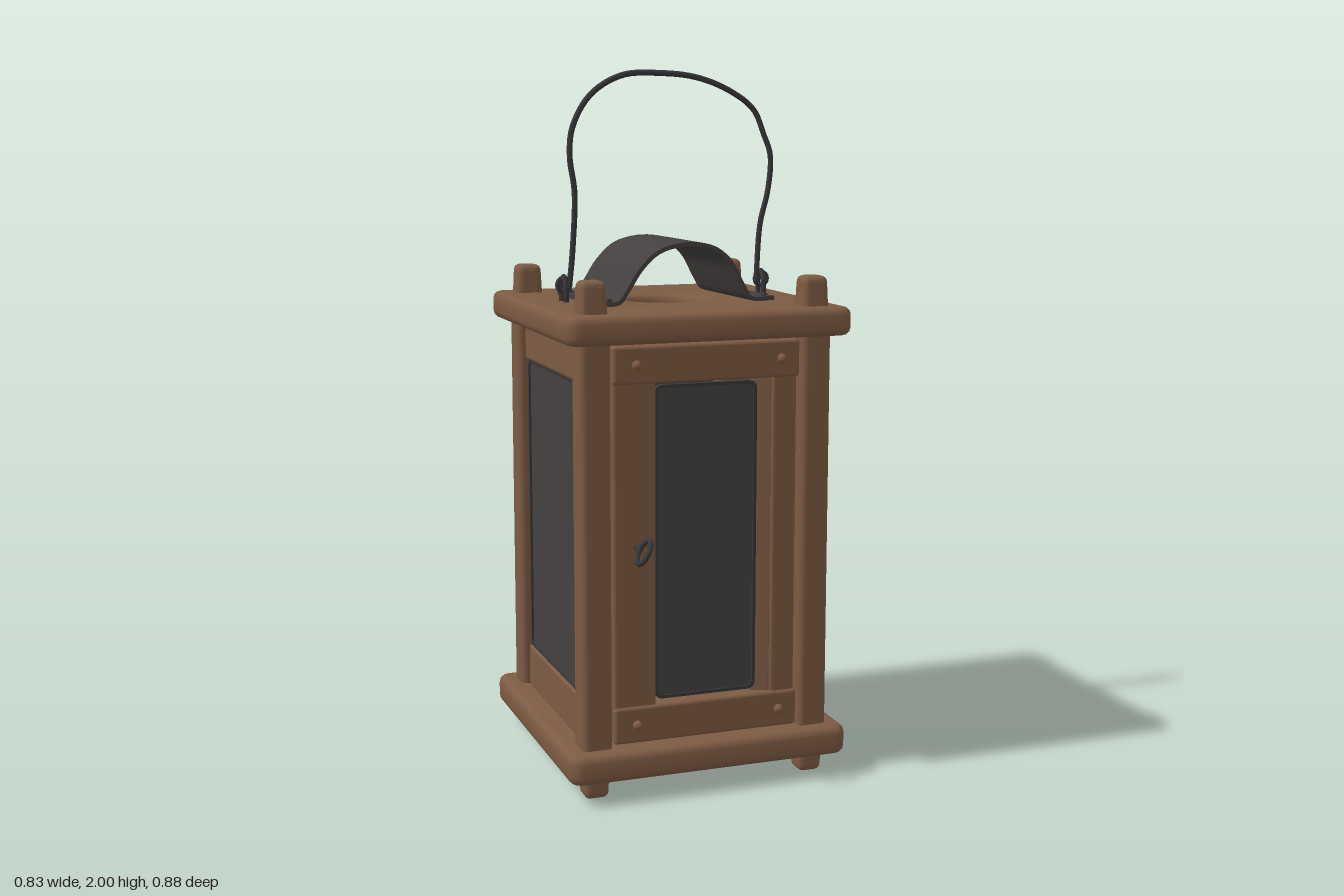
import * as THREE from 'three';
import { toCreasedNormals } from 'three/addons/utils/BufferGeometryUtils.js';
import { RoundedBoxGeometry } from 'three/addons/geometries/RoundedBoxGeometry.js';

const material = (name, color) => new THREE.MeshStandardMaterial({ name, color });

export function createModel() {
  const wood = material('wood', 0x7d5b43);
  const pane = material('darkPane', 0x454040);
  const iron = material('iron', 0x37363a);
  const model = new THREE.Group();
  model.name = 'lantern';
  const CZ = -0.027; // the body sits a little behind the door ring

  const add = (name, geometry, mat, x = 0, y = 0, z = 0, parent = model) => {
    const mesh = new THREE.Mesh(geometry, mat);
    mesh.name = name;
    mesh.position.set(x, y, z);
    parent.add(mesh);
    return mesh;
  };
  const block = (w, h, d, r = 0.01) => new RoundedBoxGeometry(w, h, d, 2, r);
  const v = (x, y, z) => new THREE.Vector3(x, y, z);
  const tube = (points, radius, segments = 24, closed = false) =>
    new THREE.TubeGeometry(new THREE.CatmullRomCurve3(points, closed), segments, radius, 8, closed);

  const roundedRect = (w, h, r) => {
    const s = new THREE.Shape();
    const x = w / 2, y = h / 2;
    s.moveTo(-x + r, -y);
    s.lineTo(x - r, -y).quadraticCurveTo(x, -y, x, -y + r);
    s.lineTo(x, y - r).quadraticCurveTo(x, y, x - r, y);
    s.lineTo(-x + r, y).quadraticCurveTo(-x, y, -x, y - r);
    s.lineTo(-x, -y + r).quadraticCurveTo(-x, -y, -x + r, -y);
    return s;
  };

  // Base and roof boards; the roof has a smoke hole
  const board = (thickness, hole) => {
    const bevel = 0.022;
    const s = roundedRect(0.826 - 2 * bevel, 0.826 - 2 * bevel, 0.02);
    if (hole) s.holes.push(new THREE.Path().absarc(0, 0, hole + bevel, 0, Math.PI * 2, true));
    const g = new THREE.ExtrudeGeometry(s, {
      depth: thickness - 2 * bevel, bevelEnabled: true, bevelSize: bevel,
      bevelThickness: bevel, bevelSegments: 3, curveSegments: 20,
    });
    g.translate(0, 0, bevel).rotateX(-Math.PI / 2);
    return toCreasedNormals(g, 0.6);
  };
  add('baseBoard', board(0.083), wood, 0, 0.062, CZ);
  add('roofBoard', board(0.08, 0.11), wood, 0, 1.272, CZ);

  // Tapered peg ends
  const peg = (w, h, taper) => {
    const g = block(w, h, w, 0.018);
    const p = g.attributes.position;
    for (let i = 0; i < p.count; i++) {
      const k = 1 - taper * (p.getY(i) / h + 0.5);
      p.setXYZ(i, p.getX(i) * k, p.getY(i), p.getZ(i) * k);
    }
    g.computeVertexNormals();
    return g;
  };

  // Corner posts with pegs through both boards
  for (const sx of [-1, 1]) for (const sz of [-1, 1]) {
    const x = sx * 0.322, z = CZ + sz * 0.32;
    add('cornerPost', block(0.088, 1.17, 0.088, 0.018), wood, x, 0.71, z);
    add('topPeg', peg(0.082, 0.13, 0.15), wood, x, sx < 0 && sz > 0 ? 1.375 : 1.37, z);
    const foot = add('footPeg', peg(0.078, 0.1, 0.12), wood, x, 0.05, z);
    foot.rotation.x = Math.PI;
  }

  // Dark pane with a thin raised rim, facing +z
  const makePane = (w, h, parent, z) => {
    const sheet = new THREE.ExtrudeGeometry(roundedRect(w, h, 0.025), { depth: 0.012, bevelEnabled: false });
    add('pane', sheet, pane, 0, 0.71, z - 0.012, parent);
    const rim = roundedRect(w, h, 0.025);
    rim.holes.push(roundedRect(w - 0.018, h - 0.018, 0.02));
    add('paneRim', new THREE.ExtrudeGeometry(rim, { depth: 0.014, bevelEnabled: false }),
      iron, 0, 0.71, z - 0.008, parent);
  };

  // Right, back and left walls: two rails and a large pane
  for (const turn of [1, 2, 3]) {
    const wall = new THREE.Group();
    wall.name = 'wall';
    wall.position.z = CZ;
    wall.rotation.y = turn * Math.PI / 2;
    model.add(wall);
    add('topRail', block(0.56, 0.12, 0.05), wood, 0, 1.215, 0.318, wall);
    add('bottomRail', block(0.56, 0.13, 0.05), wood, 0, 0.205, 0.318, wall);
    makePane(0.55, 0.89, wall, 0.33);
  }

  // Front door: rails over stiles, pegged at the corners
  const door = new THREE.Group();
  door.name = 'door';
  model.add(door);
  for (const y of [1.212, 0.205]) {
    add('doorRail', block(0.545, 0.105, 0.05), wood, -0.002, y, 0.312, door);
    for (const x of [-0.208, 0.215]) {
      const pin = add('doorPin', new THREE.SphereGeometry(0.014, 12, 8), wood, x, y, 0.338, door);
      pin.scale.z = 1.1;
    }
  }
  add('doorStile', block(0.125, 0.93, 0.045), wood, -0.212, 0.71, 0.307, door);
  add('doorStile', block(0.075, 0.93, 0.045), wood, 0.228, 0.71, 0.307, door);
  const slope = add('doorStileBevel', block(0.06, 0.92, 0.035, 0.008), wood, 0.172, 0.71, 0.297, door);
  slope.rotation.y = -0.35;
  makePane(0.3, 0.885, door, 0.312);

  // Door ring pull
  const pull = add('ringPull', new THREE.TorusGeometry(0.034, 0.0075, 8, 24), iron, -0.21, 0.712, 0.4);
  pull.rotation.set(0, Math.PI / 2, -0.5, 'ZYX');
  add('ringPin', new THREE.CylinderGeometry(0.007, 0.007, 0.05, 8).rotateX(Math.PI / 2),
    iron, -0.21, 0.712, 0.345);

  // Arched smoke cowl: a bent sheet swept along z
  const hood = new THREE.Group();
  hood.name = 'cowl';
  hood.position.set(0, 1.352, CZ);
  hood.rotation.y = 0.035;
  model.add(hood);
  const arc = new THREE.CatmullRomCurve3([
    [-0.265, 0.008], [-0.205, 0.01], [-0.18, 0.04], [-0.14, 0.1], [-0.085, 0.148], [0, 0.167],
    [0.08, 0.154], [0.13, 0.115], [0.17, 0.045], [0.195, 0.01], [0.265, 0.008],
  ].map(([x, y]) => v(x, y, 0))).getPoints(50);
  const outer = [], inner = [];
  arc.forEach((p, i) => {
    const a = arc[Math.max(i - 1, 0)], b = arc[Math.min(i + 1, 50)];
    const n = new THREE.Vector2(a.y - b.y, b.x - a.x).normalize().multiplyScalar(0.006);
    outer.push(new THREE.Vector2(p.x + n.x, p.y + n.y));
    inner.unshift(new THREE.Vector2(p.x - n.x, p.y - n.y));
  });
  const sheet = new THREE.ExtrudeGeometry(new THREE.Shape([...outer, ...inner]), { depth: 0.362, bevelEnabled: false });
  add('cowlSheet', toCreasedNormals(sheet.translate(0, 0, -0.181), 0.6), pane, 0, 0, 0, hood);
  for (const [x, z] of [[-0.24, -0.145], [0.22, -0.145], [-0.225, 0.15], [0.248, 0.15]]) {
    const rivet = add('cowlRivet', new THREE.SphereGeometry(0.011, 12, 8),
      x === 0.22 ? wood : iron, x, 0.014, z, hood);
    rivet.scale.y = 0.7;
  }

  // Staples holding the wire bail
  for (const s of [-1, 1]) {
    add('staple', tube([
      v(0, 0, -0.022), v(0, 0.055, -0.019), v(0, 0.078, 0), v(0, 0.055, 0.019), v(0, 0, 0.022),
    ], 0.008), iron, s * 0.302, 1.345, CZ);
    add('bailEye', new THREE.TorusGeometry(0.019, 0.007, 8, 18), iron, s * 0.302, 1.4, CZ);
  }

  // Hand-bent wire bail
  const bail = [
    [-0.285, 1.4], [-0.275, 1.5], [-0.268, 1.66], [-0.28, 1.76], [-0.27, 1.84], [-0.215, 1.93],
    [-0.12, 1.985], [0, 1.992], [0.11, 1.98], [0.21, 1.942], [0.28, 1.89], [0.31, 1.82],
    [0.33, 1.76], [0.322, 1.66], [0.298, 1.56], [0.287, 1.4],
  ].map(([x, y]) => v(x, y, CZ - 0.022 * Math.max(0, (y - 1.65) / 0.34) ** 1.5));
  add('bail', tube(bail, 0.0085, 90), iron);

  return model;
}
